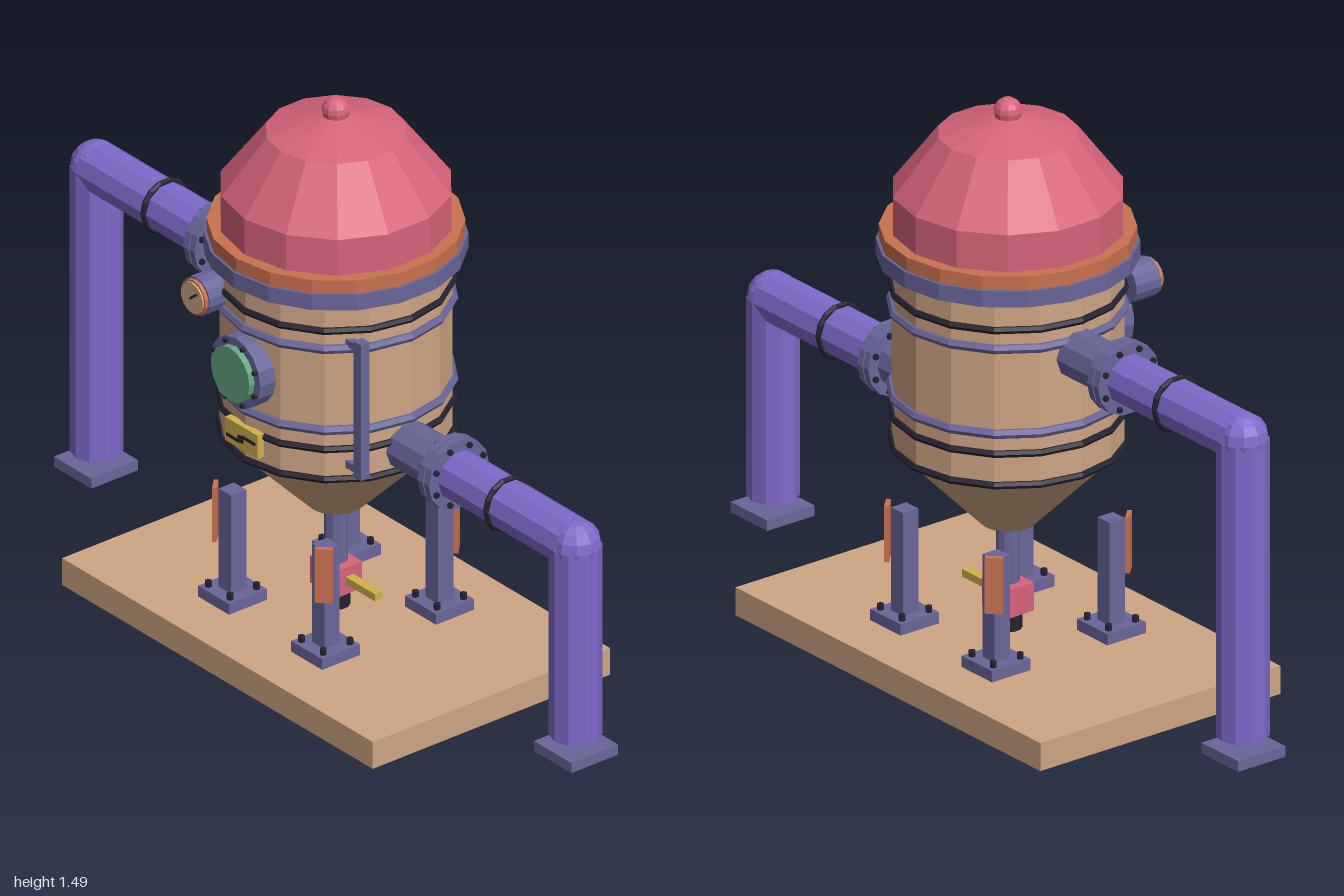
import * as THREE from 'three';

const mat = (name, color) => {
  const m = new THREE.MeshStandardMaterial({ color, flatShading: true });
  m.name = name;
  return m;
};

export function createModel() {
  const tan = mat('tan', 0xcfa583), red = mat('rose red', 0xd7647b), orange = mat('copper orange', 0xc9714f);
  const blue = mat('slate blue', 0x69669a), purple = mat('purple', 0x8069cb), dark = mat('near black', 0x23222f);
  const green = mat('glass green', 0x64a582), yellow = mat('yellow', 0xcfb24c);
  const model = new THREE.Group();
  model.name = 'processTank';

  const add = (parent, name, geo, material, x = 0, y = 0, z = 0) => {
    const m = new THREE.Mesh(geo, material);
    m.name = name;
    m.position.set(x, y, z);
    parent.add(m);
    return m;
  };
  const group = (name, x = 0, y = 0, z = 0) => {
    const g = new THREE.Group();
    g.name = name;
    g.position.set(x, y, z);
    model.add(g);
    return g;
  };
  const box = (w, h, d) => new THREE.BoxGeometry(w, h, d);
  const cyl = (r, h, n) => new THREE.CylinderGeometry(r, r, h, n);
  const cylX = (r, l, n) => cyl(r, l, n).rotateZ(-Math.PI / 2);
  const cylZ = (r, l, n) => cyl(r, l, n).rotateX(Math.PI / 2);
  const lathe = (pts, n) => new THREE.LatheGeometry(pts.map(p => new THREE.Vector2(...p)), n);

  // Base slab
  add(model, 'baseSlab', box(1.2, 0.075, 0.75), tan, 0, 0.0375, 0);

  // Tank body with conical hopper, and the domed lid
  add(model, 'tankBody', lathe([[0, 0.36], [0.07, 0.36], [0.287, 0.58], [0.287, 1.1], [0, 1.1]], 16), tan);
  add(model, 'dome', lathe([[0, 1.06], [0.289, 1.06], [0.289, 1.25], [0.175, 1.4], [0, 1.452]], 14), red);
  add(model, 'domeKnob', new THREE.SphereGeometry(0.036, 10, 8), red, 0, 1.456, 0);
  add(model, 'lowerFlange', cyl(0.324, 0.043, 18), blue, 0, 1.0925, 0);
  add(model, 'upperFlange', cyl(0.317, 0.038, 18), orange, 0, 1.132, 0);

  // Hoops around the tank
  for (const [y, t, m] of [[0.995, 0.01, dark], [0.945, 0.013, blue], [0.718, 0.013, blue], [0.664, 0.01, dark], [0.58, 0.01, dark]])
    add(model, 'tankHoop', new THREE.TorusGeometry(0.288, t, 6, 16).rotateX(Math.PI / 2), m, 0, y, 0);

  // Drain pipe, valve and handle
  add(model, 'drainPipe', cyl(0.03, 0.29, 10), blue, 0, 0.235, 0);
  add(model, 'drainFoot', cyl(0.036, 0.036, 10), dark, 0, 0.093, 0);
  add(model, 'valveBody', box(0.105, 0.075, 0.08), red, 0, 0.163, 0);
  add(model, 'valveHandle', box(0.12, 0.02, 0.025), yellow, 0.105, 0.165, 0);

  // Four legs with foot plates, bolts and angled braces
  for (const sx of [-1, 1]) for (const sz of [-1, 1]) {
    const leg = group('leg', sx * 0.18, 0, sz * 0.18);
    add(leg, 'legPost', box(0.048, 0.29, 0.048), blue, 0, 0.235, 0);
    add(leg, 'legFoot', box(0.12, 0.03, 0.12), blue, 0, 0.09, 0);
    for (const bx of [-1, 1]) for (const bz of [-1, 1])
      add(leg, 'footBolt', cyl(0.009, 0.016, 6), dark, bx * 0.042, 0.113, bz * 0.042);
    add(leg, 'legPlate', box(0.045, 0.15, 0.012), orange, sx * 0.03, 0.317, sz * 0.03)
      .rotation.y = Math.atan2(sx, sz);
  }

  // Side pipes: nozzle, bolted flange pair, run, elbow, drop and foot
  for (const [s, y] of [[-1, 0.903], [1, 0.638]]) {
    const p = group(s < 0 ? 'rightPipe' : 'leftPipe');
    add(p, 'nozzle', cylX(0.066, 0.21, 10), blue, s * 0.335, y, 0);
    for (const x of [0.441, 0.465])
      add(p, 'pipeFlange', cylX(0.095, 0.02, 14), blue, s * x, y, 0);
    add(p, 'flangeGasket', cylX(0.086, 0.012, 14), dark, s * 0.453, y, 0);
    for (let i = 0; i < 8; i++) {
      const a = (i + 0.5) * Math.PI / 4;
      add(p, 'flangeBolt', cylX(0.008, 0.06, 6), dark, s * 0.453, y + 0.08 * Math.sin(a), 0.08 * Math.cos(a));
    }
    add(p, 'pipeRun', cylX(0.066, 0.455, 10), purple, s * 0.6975, y, 0);
    add(p, 'pipeClamp', new THREE.TorusGeometry(0.066, 0.009, 6, 14).rotateY(Math.PI / 2), dark, s * 0.662, y, 0);
    add(p, 'pipeElbow', new THREE.SphereGeometry(0.066, 10, 8), purple, s * 0.925, y, 0);
    add(p, 'pipeDrop', cyl(0.066, y - 0.107, 10), purple, s * 0.925, (y + 0.107) / 2, 0);
    add(p, 'pipeFoot', box(0.145, 0.028, 0.148), blue, s * 0.9275, 0.068, 0);
  }

  // Round sight glass
  const glass = group('sightGlass', 0, 0.832, 0);
  add(glass, 'glassFrame', cylZ(0.096, 0.06, 16), blue, 0, 0, 0.288);
  add(glass, 'glassPane', cylZ(0.074, 0.04, 16), green, 0, 0, 0.315);
  for (let i = 0; i < 8; i++) {
    const a = (i + 0.5) * Math.PI / 4;
    add(glass, 'glassBolt', cylZ(0.007, 0.012, 6), dark, 0.085 * Math.cos(a), 0.085 * Math.sin(a), 0.321);
  }

  // Pressure gauge
  const gauge = group('gauge', -0.152, 0.98, 0);
  add(gauge, 'gaugeHousing', cylZ(0.052, 0.077, 14), blue, 0, 0, 0.2785);
  add(gauge, 'gaugeRim', cylZ(0.047, 0.012, 14), orange, 0, 0, 0.321);
  add(gauge, 'gaugeFace', cylZ(0.042, 0.006, 14), tan, 0, 0, 0.329);
  add(gauge, 'gaugeNeedle', box(0.034, 0.006, 0.004), dark, 0.008, 0.008, 0.333).rotation.z = 0.7;

  // Warning plate with a stepped mark
  const plate = group('warningPlate', 0, 0.643, 0);
  add(plate, 'plateBack', box(0.126, 0.065, 0.02), yellow, 0, 0, 0.29);
  for (const [x, y, w, h] of [[-0.03, -0.012, 0.05, 0.008], [0, -0.004, 0.02, 0.018], [0.03, 0.005, 0.05, 0.008]])
    add(plate, 'plateMark', box(w, h, 0.004), dark, x, y, 0.301);

  // Level tube on the left side
  add(model, 'levelTube', box(0.028, 0.38, 0.028), blue, 0.282, 0.79, 0.15);
  for (const y of [0.62, 0.96])
    add(model, 'levelBracket', box(0.06, 0.02, 0.02), blue, 0.25, y, 0.15);

  return model;
}
